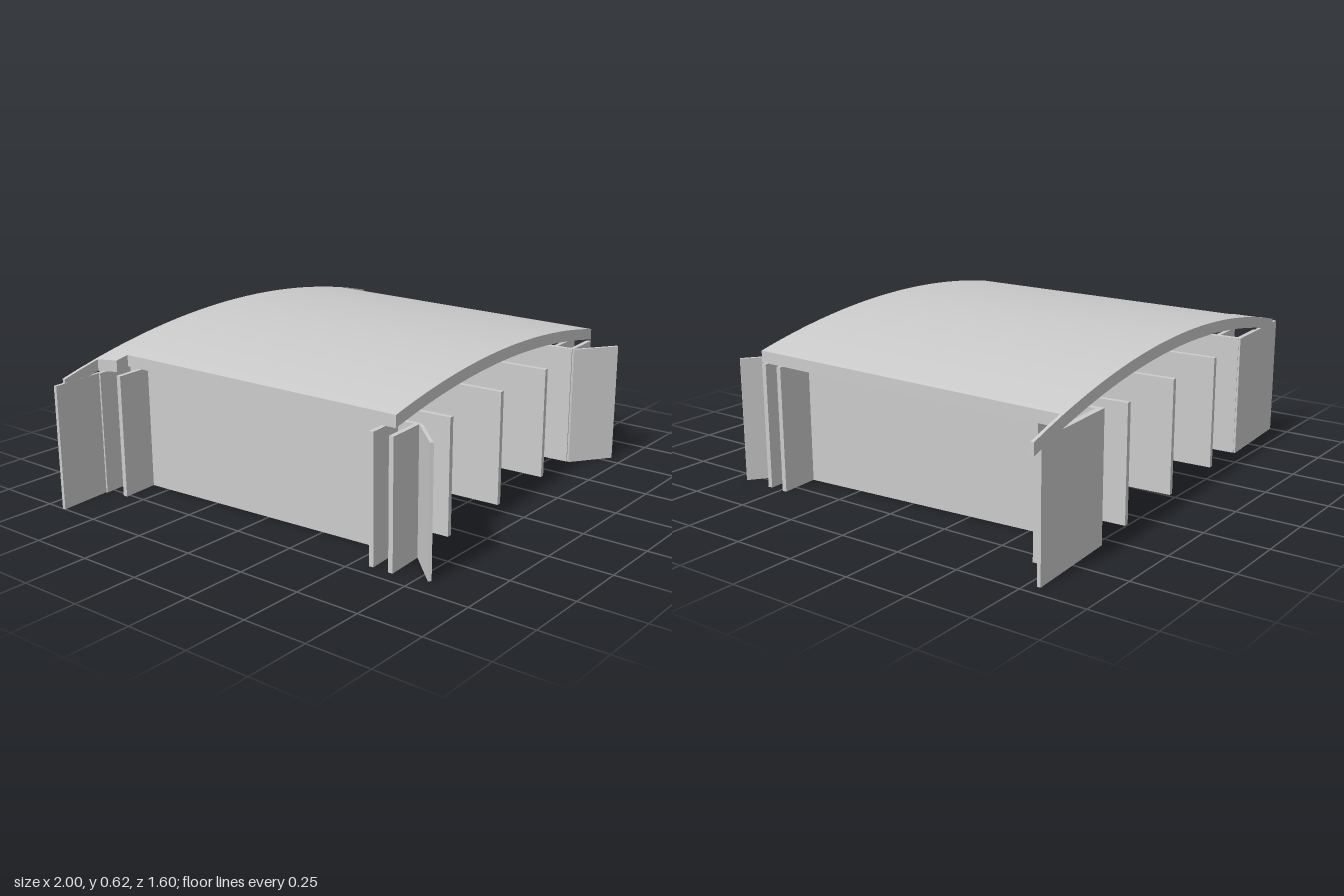
import * as THREE from 'three';
import { toCreasedNormals } from 'three/addons/utils/BufferGeometryUtils.js';

const material = new THREE.MeshStandardMaterial({ color: 0xcccccc, side: THREE.DoubleSide });
const WALL_H = 0.485, PIER_H = 0.45;

// skewed front and back edges of the bridge in plan
const frontZ = x => 0.619 - 0.067 * x;
const backZ = x => -0.7375 - 0.0655 * x;
const topY = x => 0.62 - 0.13 * x * x;

// upright slab standing on the ground between two plan points
function wall(name, x1, z1, x2, z2, height, thickness) {
  const dx = x2 - x1, dz = z2 - z1;
  const mesh = new THREE.Mesh(
    new THREE.BoxGeometry(Math.hypot(dx, dz), height, thickness), material);
  mesh.position.set((x1 + x2) / 2, height / 2, (z1 + z2) / 2);
  mesh.rotation.y = -Math.atan2(dz, dx);
  mesh.name = name;
  return mesh;
}

// arched deck, lofted through rectangular sections along x
function deckGeometry() {
  const strip = x => backZ(x) + 0.013;
  const stations = [[-0.955, strip(-0.955)], [-0.87, strip(-0.87)], [-0.786, strip(-0.786)],
    [-0.765, -0.59], [-0.71, -0.59]];
  const n = 32;
  for (let i = 0; i <= n; i++) {
    const x = -0.69 + 1.495 * i / n;
    stations.push([x, frontZ(x)]);
  }
  stations.push([0.825, strip(0.825)], [0.91, strip(0.91)], [1, strip(1)]);
  const positions = [], index = [];
  for (const [x, z] of stations) {
    const y = topY(x), b = backZ(x), low = y - 0.045;
    positions.push(x, y, z, x, y, b, x, low, b, x, low, z);
  }
  const last = stations.length - 1;
  for (let i = 0; i < last; i++) {
    for (let k = 0; k < 4; k++) {
      const a = i * 4 + k, d = i * 4 + (k + 1) % 4;
      index.push(a, a + 4, d + 4, a, d + 4, d);
    }
  }
  const e = last * 4;
  index.push(0, 1, 2, 0, 2, 3, e, e + 2, e + 1, e, e + 3, e + 2);
  const geometry = new THREE.BufferGeometry();
  geometry.setAttribute('position', new THREE.Float32BufferAttribute(positions, 3));
  geometry.setIndex(index);
  return toCreasedNormals(geometry, 0.4);
}

export function createModel() {
  const model = new THREE.Group();
  model.name = 'bridge';

  const deck = new THREE.Mesh(deckGeometry(), material);
  deck.name = 'deck';
  model.add(deck);

  // three piers between the abutments
  const piers = new THREE.Group();
  piers.name = 'piers';
  for (const x of [-0.315, 0.055, 0.42]) {
    const xb = x - 0.076;
    piers.add(wall('pier', x, frontZ(x) - 0.01, xb, backZ(xb) + 0.015, PIER_H, 0.02));
  }
  model.add(piers);

  // abutment walls, with x at the front and back ends
  const abutments = new THREE.Group();
  abutments.name = 'abutments';
  for (const [xf, xb] of [[-0.535, -0.613], [0.645, 0.56]]) {
    abutments.add(wall('abutment', xf, frontZ(xf) - 0.005, xb, backZ(xb) + 0.008, WALL_H, 0.02));
  }
  model.add(abutments);

  // splayed wing walls at the front, straight ones along the back
  const wings = new THREE.Group();
  wings.name = 'wingWalls';
  wings.add(
    wall('frontRightWing', -0.53, 0.65, -0.668, 0.793, WALL_H, 0.013),
    wall('frontLeftWing', 0.64, 0.577, 0.799, 0.692, WALL_H, 0.013),
    wall('backRightWing', -0.605, backZ(-0.605) + 0.007, -1, backZ(-1) + 0.007, WALL_H, 0.013),
    wall('backLeftWing', 0.552, backZ(0.552) + 0.007, 0.955, backZ(0.955) + 0.007, WALL_H, 0.013));
  model.add(wings);

  // short fins behind the abutments: inner x, outer x, outer z
  const fins = new THREE.Group();
  fins.name = 'fins';
  for (const [x1, x2, z] of [[0.64, 0.806, 0.556], [0.635, 0.806, 0.48],
    [0.565, 0.806, -0.675], [0.56, 0.822, -0.776],
    [-0.535, -0.697, 0.652], [-0.54, -0.697, 0.57],
    [-0.605, -0.767, -0.583], [-0.61, -0.785, -0.675]]) {
    fins.add(wall('fin', x1, z - 0.066 * (x1 - x2), x2, z, WALL_H, 0.018));
  }
  model.add(fins);

  return model;
}
